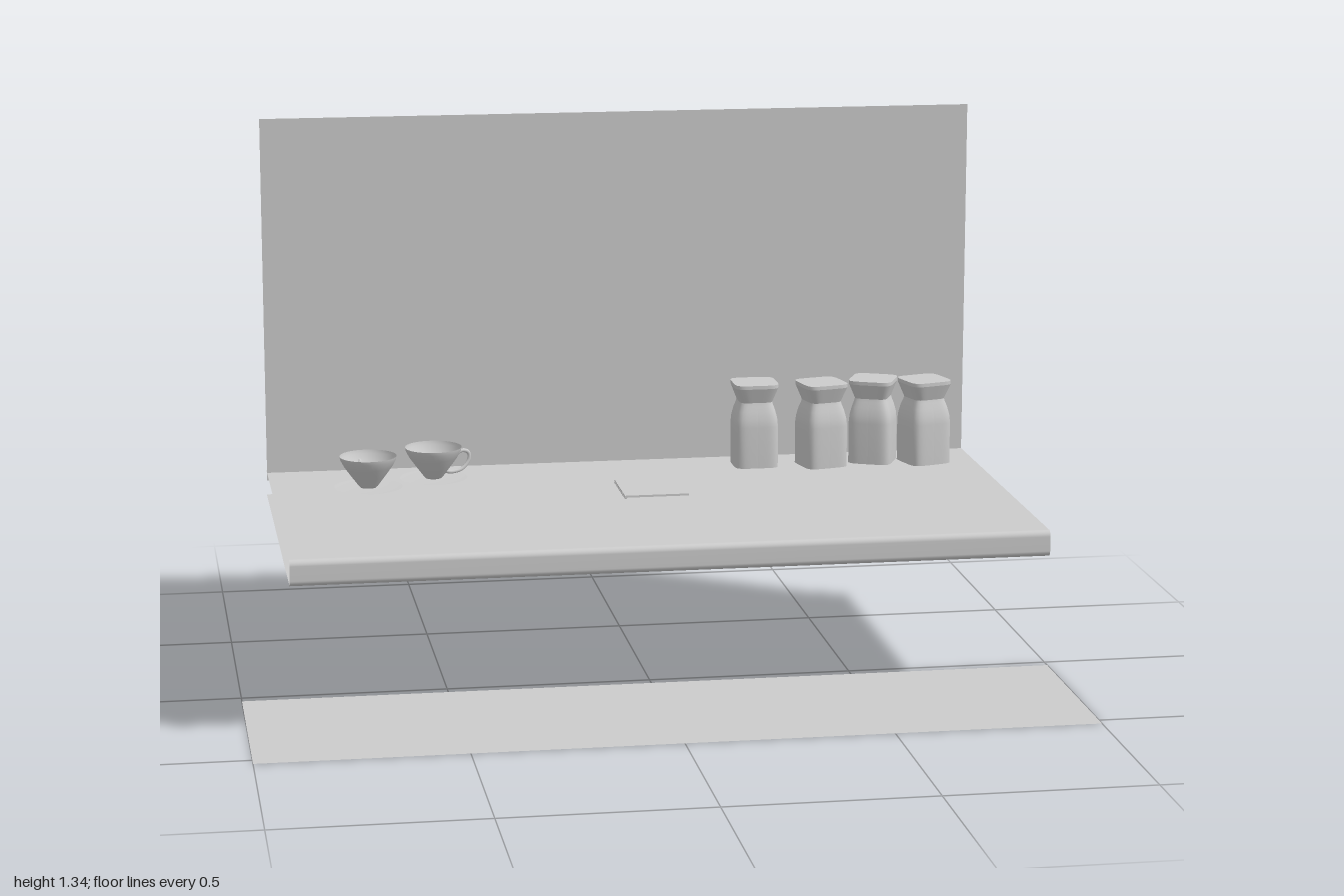
import * as THREE from 'three';

const mat = new THREE.MeshStandardMaterial({ color: 0xcccccc, side: THREE.DoubleSide });

function add(parent, name, geometry, x = 0, y = 0, z = 0) {
  const mesh = new THREE.Mesh(geometry, mat);
  mesh.name = name;
  mesh.position.set(x, y, z);
  parent.add(mesh);
  return mesh;
}

const profile = (pts) => pts.map(([r, y]) => new THREE.Vector2(r, y));

// Lathe squeezed into a rounded square; a doubled profile point keeps a sharp edge
function squareLathe(pts) {
  const geo = new THREE.LatheGeometry(profile(pts), 48);
  const p = geo.attributes.position;
  for (let i = 0; i < p.count; i++) {
    const x = p.getX(i), z = p.getZ(i), r = Math.hypot(x, z);
    if (r < 1e-6) continue;
    const n = 5.5;
    const k = Math.pow(Math.pow(Math.abs(x / r), n) + Math.pow(Math.abs(z / r), n), -1 / n);
    p.setXYZ(i, x * k, p.getY(i), z * k);
  }
  geo.computeVertexNormals();
  return geo;
}

// Folded sheet: top, rounded front lip and underside, open at the ends and back
function counterGeometry() {
  const top = 0.44, bottom = 0.377, front = 0.395, back = -0.53, r = 0.014, steps = 6;
  const line = [[back, top]];
  for (let i = 0; i <= steps; i++) {
    const a = (i / steps) * Math.PI / 2;
    line.push([front - r + r * Math.sin(a), top - r + r * Math.cos(a)]);
  }
  for (let i = 0; i <= steps; i++) {
    const a = (i / steps) * Math.PI / 2;
    line.push([front - r + r * Math.cos(a), bottom + r - r * Math.sin(a)]);
  }
  line.push([back, bottom]);
  const pos = [], idx = [];
  line.forEach(([z, y], i) => {
    // Each flat run gets its own end points so it shades flat
    pos.push(-0.9, y, z, 0.9, y, z);
    if (i === 1 || i === line.length - 2) pos.push(-0.9, y, z, 0.9, y, z);
  });
  for (let a = 0; a < pos.length / 3 - 2; a += 2) idx.push(a, a + 2, a + 1, a + 1, a + 2, a + 3);
  const geo = new THREE.BufferGeometry();
  geo.setAttribute('position', new THREE.Float32BufferAttribute(pos, 3));
  geo.setIndex(idx);
  geo.computeVertexNormals();
  return geo;
}

function makeCup(x, z, turn) {
  const cup = new THREE.Group();
  cup.name = 'cupAndSaucer';
  cup.position.set(x, 0.44, z);
  cup.rotation.y = turn;
  add(cup, 'saucer', new THREE.LatheGeometry(profile([[0, 0.001], [0.05, 0.001], [0.085, 0.003]]), 40));
  add(cup, 'cupBowl', new THREE.LatheGeometry(profile(
    [[0, 0.002], [0.02, 0.002], [0.024, 0.006], [0.042, 0.03], [0.06, 0.055], [0.069, 0.072], [0.071, 0.081]]), 40));
  const path = new THREE.CatmullRomCurve3([[0.058, 0.052], [0.078, 0.064], [0.096, 0.058], [0.098, 0.04],
    [0.08, 0.018], [0.05, 0.012], [0.032, 0.016]].map(([a, b]) => new THREE.Vector3(a, b, 0)));
  add(cup, 'cupHandle', new THREE.TubeGeometry(path, 28, 0.005, 8));
  return cup;
}

function makeJar(x, z, turn) {
  const jar = new THREE.Group();
  jar.name = 'jar';
  jar.position.set(x, 0.425, z);
  jar.rotation.y = turn;
  add(jar, 'jarBody', squareLathe([[0, 0], [0.053, 0], [0.053, 0], [0.056, 0.006], [0.056, 0.12],
    [0.054, 0.14], [0.049, 0.16], [0.044, 0.174], [0.042, 0.182]]));
  add(jar, 'jarLid', squareLathe([[0.042, 0.182], [0.056, 0.22], [0.056, 0.22], [0.056, 0.229], [0.056, 0.229], [0, 0.229]]));
  return jar;
}

export function createModel() {
  const model = new THREE.Group();
  model.name = 'counterScene';

  // Floor strip, counter and back wall
  add(model, 'floor', new THREE.PlaneGeometry(2, 0.5).rotateX(-Math.PI / 2), 0, 0, 0.277);
  add(model, 'counter', counterGeometry());
  add(model, 'backWall', new THREE.PlaneGeometry(1.8, 0.92), 0, 0.88, -0.5);

  // Cups on saucers
  model.add(makeCup(-0.66, -0.3, 1.83), makeCup(-0.49, -0.375, 0.32));

  // Row of storage jars
  [[0.335, -0.41, 0], [0.503, -0.382, 0.22], [0.643, -0.407, -0.42], [0.77, -0.378, 0.28]]
    .forEach((j) => model.add(makeJar(...j)));

  // Notepad with small binding rings along its left edge
  const pad = new THREE.Group();
  pad.name = 'notepad';
  pad.position.set(0, 0.494, 0.031);
  add(pad, 'pages', new THREE.BoxGeometry(0.156, 0.005, 0.17));
  for (let i = 0; i < 14; i++) {
    add(pad, 'bindingRing', new THREE.TorusGeometry(0.004, 0.001, 5, 10), -0.075, -0.002, -0.078 + i * 0.012);
  }
  model.add(pad);

  // Flat round mats lying on the counter
  [[0.69, 0.09], [0.75, -0.03], [-0.68, 0.1], [-0.62, 0.25]].forEach(([x, z]) =>
    add(model, 'flatMat', new THREE.CircleGeometry(0.06, 24).rotateX(-Math.PI / 2), x, 0.4405, z));

  return model;
}
